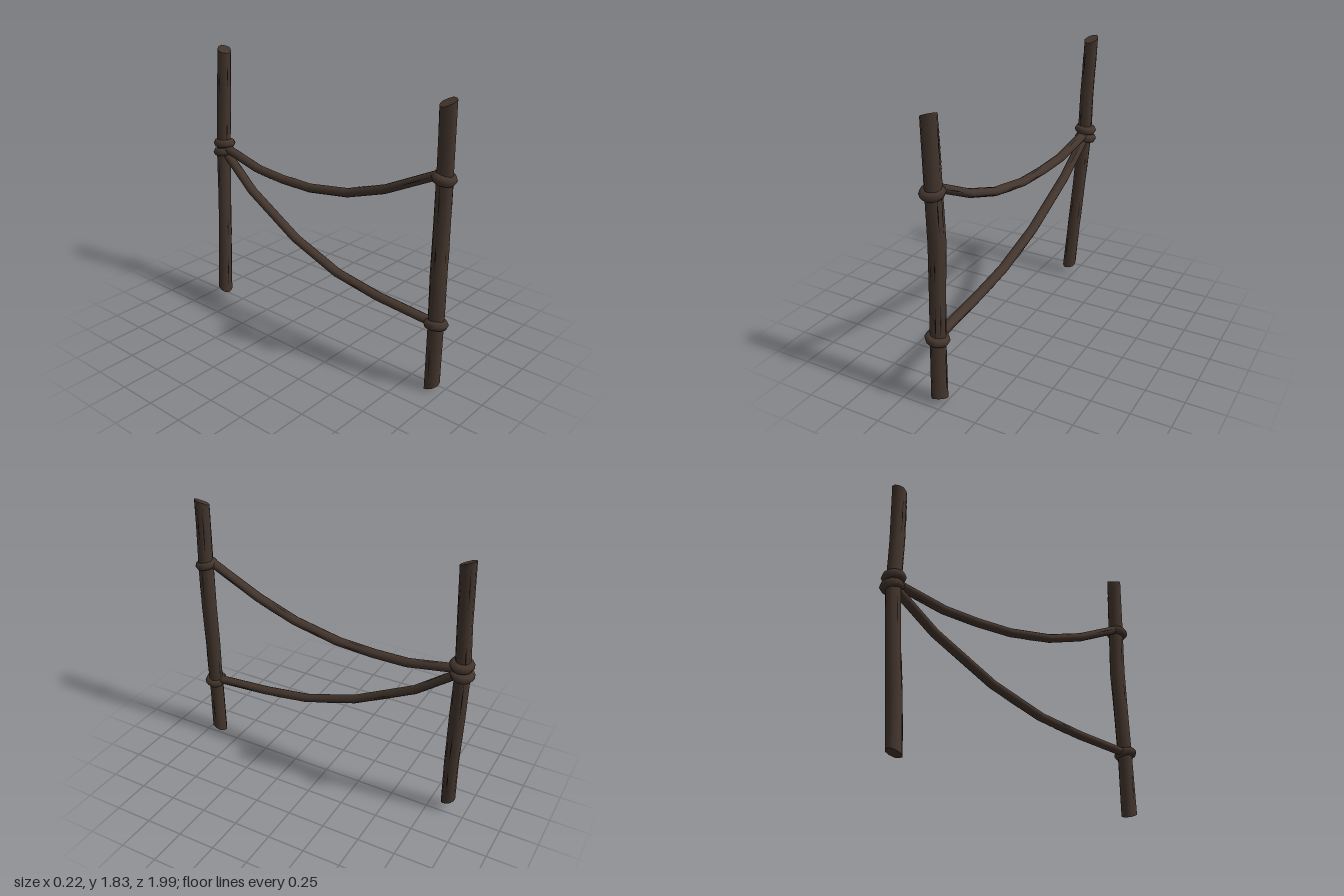
import * as THREE from 'three';

const SIDES = 10;
const V = (a) => new THREE.Vector3(...a);

// Rings of points around a centre line; ends may be slanted along the line.
function makeRings(points, ru, rv, slantA = [0, 0], slantB = [0, 0], wobble = 0) {
  const c = points.map(V);
  const last = c.length - 1;
  return c.map((p, i) => {
    const t = c[Math.min(i + 1, last)].clone().sub(c[Math.max(i - 1, 0)]).normalize();
    const u = new THREE.Vector3(1, 0, 0).addScaledVector(t, -t.x).normalize();
    const v = u.clone().cross(t);
    const slant = i === 0 ? slantA : i === last ? slantB : [0, 0];
    const ring = [];
    for (let j = 0; j < SIDES; j++) {
      const a = (j / SIDES) * Math.PI * 2;
      const k = 1 + wobble * Math.sin(j * 2.3 + i * 1.7);
      const x = Math.cos(a) * ru * k, y = Math.sin(a) * rv * k;
      ring.push(p.clone().addScaledVector(u, x).addScaledVector(v, y)
        .addScaledVector(t, x * slant[0] + y * slant[1]));
    }
    return { p, ring };
  });
}

// Closed skin over the rings, with sharp-edged end caps.
function skin(rings) {
  const pos = [], idx = [];
  const push = (v) => pos.push(v.x, v.y, v.z) / 3 - 1;
  rings.forEach((r) => r.ring.forEach(push));
  for (let i = 0; i < rings.length - 1; i++) {
    for (let j = 0; j < SIDES; j++) {
      const a = i * SIDES + j, b = i * SIDES + (j + 1) % SIDES;
      idx.push(a, a + SIDES, b, b, a + SIDES, b + SIDES);
    }
  }
  [rings[0], rings[rings.length - 1]].forEach((r, end) => {
    const mid = push(r.p);
    r.ring.forEach(push);
    for (let j = 0; j < SIDES; j++) {
      const a = mid + 1 + j, b = mid + 1 + (j + 1) % SIDES;
      idx.push(mid, end ? b : a, end ? a : b);
    }
  });
  const g = new THREE.BufferGeometry();
  g.setAttribute('position', new THREE.Float32BufferAttribute(pos, 3));
  g.setIndex(idx);
  g.computeVertexNormals();
  return g;
}

// Thin dark slivers lying along the skin, one or two per stretch.
function cracks(rings, seed, perStretch, width) {
  const pos = [];
  let s = seed;
  const rand = () => (s = (s * 16807) % 2147483647) / 2147483647;
  for (let i = 0; i < rings.length - 1; i++) {
    const at = (f, j, side = 0) => {
      const n = (k) => (k + SIDES) % SIDES;
      const onRing = (r) => r.ring[n(j)].clone().lerp(r.ring[n(j + Math.sign(side))], Math.abs(side));
      const mid = rings[i].p.clone().lerp(rings[i + 1].p, f);
      const p = onRing(rings[i]).lerp(onRing(rings[i + 1]), f);
      return p.add(p.clone().sub(mid).setLength(0.0015));
    };
    for (let k = 0; k < perStretch; k++) {
      const j = Math.floor(rand() * SIDES);
      const f0 = 0.05 + rand() * 0.3, f1 = 0.6 + rand() * 0.35, fm = (f0 + f1) / 2;
      const a = at(f0, j), b = at(f1, j), c = at(fm, j);
      const l = at(fm, j, -width), r = at(fm, j, width);
      [a, c, l, c, b, l, a, r, c, c, r, b].forEach((v) => pos.push(v.x, v.y, v.z));
    }
  }
  const g = new THREE.BufferGeometry();
  g.setAttribute('position', new THREE.Float32BufferAttribute(pos, 3));
  g.computeVertexNormals();
  return g;
}

export function createModel() {
  const model = new THREE.Group();
  const wood = new THREE.MeshStandardMaterial({ color: 0x43352d });
  wood.name = 'brown wood';
  const dark = new THREE.MeshStandardMaterial({ color: 0x1e1713, side: THREE.DoubleSide });
  dark.name = 'dark grain';

  function addPart(name, rings, seed, perStretch, width) {
    const group = new THREE.Group();
    group.name = name;
    const body = new THREE.Mesh(skin(rings), wood);
    body.name = name + 'Body';
    const grain = new THREE.Mesh(cracks(rings, seed, perStretch, width), dark);
    grain.name = name + 'Grain';
    group.add(body, grain);
    model.add(group);
  }

  // Slightly crooked posts with slanted cuts
  addPart('frontPost', makeRings([
    [-0.04, 0.024, 0.925], [-0.035, 0.4, 0.922], [-0.025, 0.75, 0.915],
    [-0.015, 1.05, 0.913], [-0.022, 1.4, 0.917], [-0.03, 1.78, 0.915],
  ], 0.049, 0.05, [0.25, 0.4], [0.35, 0.25], 0.05), 11, 3, 0.13);
  addPart('backPost', makeRings([
    [-0.045, 0.07, -0.878], [-0.02, 0.4, -0.885], [0.008, 0.75, -0.9],
    [0.03, 1.1, -0.912], [0.042, 1.42, -0.9], [0.064, 1.808, -0.895],
  ], 0.046, 0.047, [0.1, -0.4], [0.2, -0.4], 0.05), 29, 3, 0.13);

  // Sagging ropes between the posts
  addPart('upperRope', makeRings([
    [-0.04, 1.37, 0.89], [-0.043, 1.195, 0.53], [-0.036, 1.1, 0.25],
    [-0.02, 1.047, -0.07], [-0.005, 1.042, -0.32], [0.012, 1.055, -0.56],
    [0.035, 1.125, -0.88],
  ], 0.034, 0.028), 47, 2, 0.16);
  addPart('lowerRope', makeRings([
    [-0.04, 0.45, 0.89], [-0.04, 0.48, 0.5], [-0.032, 0.53, 0.17],
    [-0.014, 0.655, -0.2], [0.012, 0.88, -0.62], [0.036, 1.1, -0.9],
  ], 0.034, 0.027), 83, 2, 0.16);

  // Rope loops tied around the posts
  [
    ['frontUpperLoop', [-0.028, 1.352, 0.916], 0.22, 0.0],
    ['frontLowerLoop', [-0.036, 0.443, 0.924], -0.06, -0.2],
    ['backUpperLoop', [0.038, 1.16, -0.907], -0.06, -0.12],
    ['backLowerLoop', [0.038, 1.098, -0.914], -0.14, -0.1],
  ].forEach(([name, at, tiltX, tiltZ]) => {
    const g = new THREE.TorusGeometry(0.046, 0.03, 7, 12).rotateX(Math.PI / 2);
    const loop = new THREE.Mesh(g, wood);
    loop.name = name;
    loop.position.set(...at);
    loop.rotation.set(tiltX, 0, tiltZ);
    model.add(loop);
  });

  return model;
}
